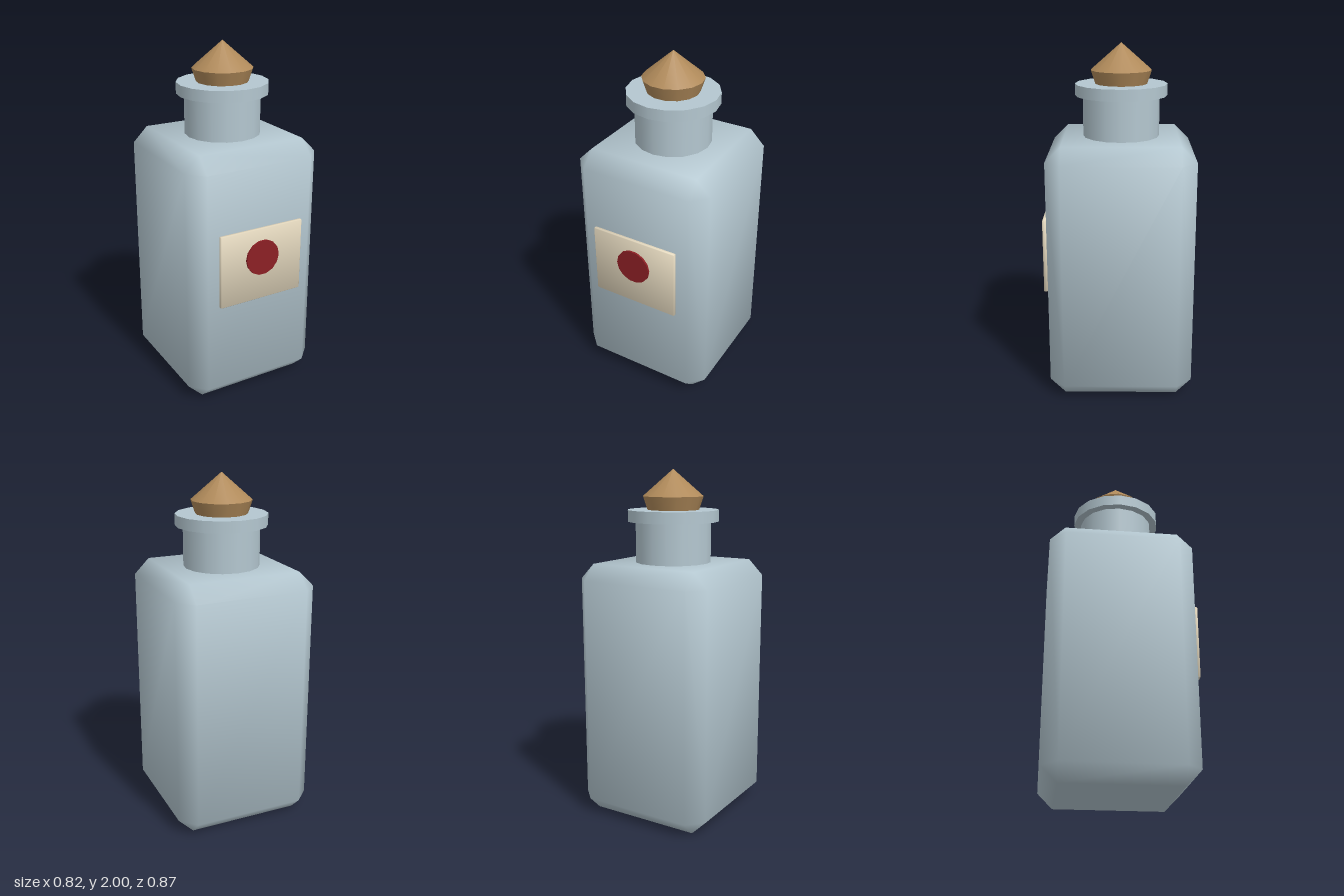
import * as THREE from 'three';
import { ConvexGeometry } from 'three/addons/geometries/ConvexGeometry.js';

const material = (color) => new THREE.MeshStandardMaterial({ color });

// Box with every edge cut at 45 degrees and softly blended normals
function chamferedBox(width, height, depth, cut) {
  const half = [width / 2, height / 2, depth / 2];
  const points = [];
  for (let axis = 0; axis < 3; axis++) {
    for (let corner = 0; corner < 8; corner++) {
      const p = half.map((h, i) => (corner & (1 << i) ? 1 : -1) * (i === axis ? h : h - cut));
      points.push(new THREE.Vector3(...p));
    }
  }
  const geometry = new ConvexGeometry(points);
  const position = geometry.attributes.position;
  const normal = geometry.attributes.normal;
  const n = new THREE.Vector3();
  for (let v = 0; v < position.count; v++) {
    const tilt = half.map((h, i) => {
      const c = position.getComponent(v, i);
      return Math.sign(c) * (Math.abs(c) > h - cut / 2 ? 1 : 0.4);
    });
    n.set(...tilt).normalize();
    normal.setXYZ(v, n.x, n.y, n.z);
  }
  return geometry;
}

// Upright cylinder or cone standing between two heights
function turned(topRadius, bottomRadius, y0, y1, sides) {
  return new THREE.CylinderGeometry(topRadius, bottomRadius, y1 - y0, sides)
    .rotateY(Math.PI / 2)
    .translate(0, (y0 + y1) / 2, 0);
}

export function createModel() {
  const model = new THREE.Group();
  model.name = 'bottle';
  const glass = material(0xb4c7d0);
  const cork = material(0xb08a5a);
  const axisZ = -0.022;

  const add = (parent, name, geometry, mat, x = 0, y = 0, z = 0) => {
    const mesh = new THREE.Mesh(geometry, mat);
    mesh.name = name;
    mesh.position.set(x, y, z);
    parent.add(mesh);
  };

  // Glass body, neck and lip
  add(model, 'body', chamferedBox(0.825, 1.48, 0.825, 0.087), glass, 0, 0.74, axisZ);
  add(model, 'neck', turned(0.217, 0.217, 1.46, 1.715, 16), glass, 0, 0, axisZ);
  add(model, 'lip', turned(0.261, 0.261, 1.71, 1.775, 16), glass, 0, 0, axisZ);

  // Stopper: flared plug under a pointed cap
  const stopper = new THREE.Group();
  stopper.name = 'stopper';
  stopper.position.z = axisZ;
  add(stopper, 'stopperPlug', turned(0.173, 0.143, 1.76, 1.85, 14), cork);
  add(stopper, 'stopperCap', turned(0, 0.173, 1.85, 2, 14), cork);
  model.add(stopper);

  // Front label with a round seal
  add(model, 'label', chamferedBox(0.523, 0.43, 0.022, 0.004), material(0xe4d8be), 0, 0.83, 0.409);
  const disc = turned(0.104, 0.104, -0.009, 0.009, 14).rotateX(Math.PI / 2);
  add(model, 'seal', disc, material(0x8c1f24), 0, 0.873, 0.422);

  return model;
}
